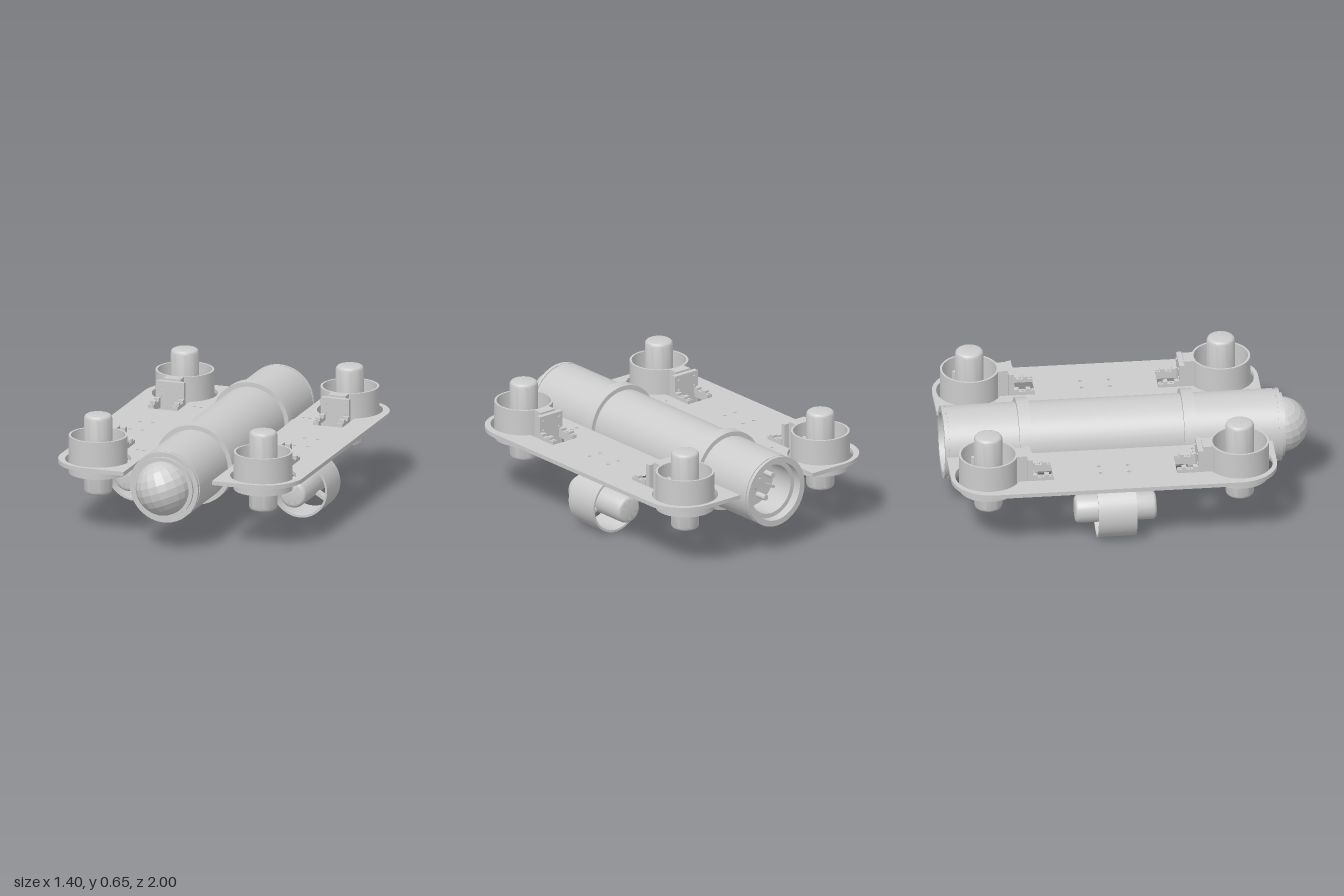
import * as THREE from 'three';
import { toCreasedNormals } from 'three/addons/utils/BufferGeometryUtils.js';

const grey = new THREE.MeshStandardMaterial({ color: 0xcccccc });
const facet = new THREE.MeshStandardMaterial({ color: 0xcccccc, flatShading: true });

const HULL_Y = 0.353, MID_Z = -0.11, POD_X = 0.477, POD_DZ = 0.687;
const PLATE_TOP = 0.397, PLATE_T = 0.023;

function add(parent, name, geo, x = 0, y = 0, z = 0, mat = grey) {
  const m = new THREE.Mesh(geo, mat);
  m.name = name;
  m.position.set(x, y, z);
  parent.add(m);
  return m;
}

// Box given by its limits on each axis
function slab(parent, name, x0, x1, y0, y1, z0, z1) {
  return add(parent, name, new THREE.BoxGeometry(x1 - x0, y1 - y0, z1 - z0),
    (x0 + x1) / 2, (y0 + y1) / 2, (z0 + z1) / 2);
}

function lathe(pts, seg = 48) {
  const g = new THREE.LatheGeometry(pts.map(p => new THREE.Vector2(...p)), seg);
  return toCreasedNormals(g, 0.6);
}

// Closed ring profile around y
const ringGeo = (ri, ro, h, seg) =>
  lathe([[ri, -h / 2], [ro, -h / 2], [ro, h / 2], [ri, h / 2], [ri, -h / 2]], seg);

// Ducted thruster along y, with its mounting block towards +z
function thruster(name) {
  const g = new THREE.Group();
  g.name = name;
  add(g, 'duct', ringGeo(0.148, 0.16, 0.21, 48));
  const r = 0.077, h = 0.222, c = 0.022, pts = [[0, -h]];
  for (let i = 0; i <= 4; i++) {
    const a = i / 4 * Math.PI / 2;
    pts.push([r - c + c * Math.sin(a), -h + c - c * Math.cos(a)]);
  }
  const top = pts.slice().reverse().map(([x, y]) => [x, -y]);
  add(g, 'motor', lathe([...pts, ...top], 32));
  for (let i = 0; i < 3; i++) {
    const a = i * Math.PI * 2 / 3;
    const s = add(g, 'spoke', new THREE.BoxGeometry(0.018, 0.05, 0.085),
      Math.sin(a) * 0.112, 0, Math.cos(a) * 0.112);
    s.rotation.y = a;
  }
  slab(g, 'mountBlock', -0.05, 0.05, -0.105, 0.105, 0.152, 0.207);
  return g;
}

// Upright bracket with two stepped feet, in the thruster's own frame
function bracket() {
  const g = new THREE.Group();
  g.name = 'thrusterBracket';
  slab(g, 'bracketPlate', -0.08, 0.08, -0.105, 0.095, 0.207, 0.235);
  const y = PLATE_TOP - 0.427;
  for (const s of [-1, 1]) {
    const x = s * 0.069;
    slab(g, 'foot', x - 0.015, x + 0.015, y, y + 0.02, 0.235, 0.35);
    slab(g, 'footStep', x - 0.015, x + 0.015, y + 0.02, y + 0.034, 0.235, 0.262);
    slab(g, 'footStep', x - 0.015, x + 0.015, y + 0.02, y + 0.034, 0.3, 0.325);
    for (const z of [0.281, 0.338])
      add(g, 'footBolt', new THREE.CylinderGeometry(0.008, 0.008, 0.008, 10), x, y + 0.022, z);
    for (const by of [0.01, 0.065]) {
      const b = add(g, 'bracketBolt', new THREE.CylinderGeometry(0.008, 0.008, 0.008, 10), s * 0.055, by, 0.237);
      b.rotation.x = Math.PI / 2;
    }
  }
  return g;
}

// Side plate with rounded outer corners, thruster cutouts and bolt holes
function platePanel(side) {
  const toPath = (pts, P) => new P(pts.map(([x, z]) => new THREE.Vector2(x * side, z)));
  const outline = [[0.255, -1], [0.255, 0.78]];
  const corner = (z, a0) => {
    for (let i = 0; i <= 16; i++) {
      const a = a0 - i / 16 * Math.PI / 2;
      outline.push([0.48 + 0.22 * Math.cos(a), z + 0.22 * Math.sin(a)]);
    }
  };
  corner(0.56, Math.PI / 2);
  corner(-0.78, 0);
  const shape = toPath(outline, THREE.Shape);
  for (const dir of [-1, 1]) {
    const cut = [], a0 = Math.asin(0.083 / 0.18);
    for (let i = 0; i <= 40; i++) {
      const a = a0 + i / 40 * (2 * Math.PI - 2 * a0);
      cut.push([0.18 * Math.sin(a), 0.18 * Math.cos(a)]);
    }
    cut.push([-0.083, 0.235], [-0.055, 0.235], [-0.055, 0.35],
      [0.055, 0.35], [0.055, 0.235], [0.083, 0.235]);
    shape.holes.push(toPath(
      cut.map(([x, d]) => [POD_X + x, MID_Z - dir * POD_DZ + dir * d]), THREE.Path));
  }
  const bolts = [];
  for (const x of [0.44, 0.513]) for (const z of [-0.187, -0.031]) bolts.push([x, z]);
  for (const x of [0.296, 0.334]) for (const z of [-0.56, 0.34]) bolts.push([x, z]);
  for (const [x, z] of bolts) {
    const pts = [];
    for (let i = 0; i < 12; i++) {
      const a = i / 12 * Math.PI * 2;
      pts.push([x + 0.01 * Math.cos(a), z + 0.01 * Math.sin(a)]);
    }
    shape.holes.push(toPath(pts, THREE.Path));
  }
  const g = new THREE.ExtrudeGeometry(shape, { depth: PLATE_T, bevelEnabled: false });
  g.rotateX(Math.PI / 2);
  return toCreasedNormals(g, 0.5);
}

export function createModel() {
  const model = new THREE.Group();
  model.name = 'underwaterVehicle';

  // Hull tube with seam grooves, front flange and recessed rear end
  const hull = new THREE.Group();
  hull.name = 'hull';
  hull.position.y = HULL_Y;
  model.add(hull);
  add(hull, 'tube', lathe([
    [0, -0.8], [0.14, -0.8], [0.14, -0.95], [0.165, -0.95], [0.165, -1], [0.198, -1],
    [0.198, -0.986], [0.193, -0.986], [0.193, -0.976], [0.198, -0.976],
    [0.198, 0.815], [0.193, 0.815], [0.193, 0.825], [0.198, 0.825],
    [0.198, 0.845], [0.172, 0.845], [0.172, 0.862], [0, 0.862]], 64)).rotation.x = Math.PI / 2;
  for (const z of [-0.981, 0.82])
    for (const s of [-1, 1]) slab(hull, 'seamLatch', -0.033, 0.033, s * 0.19 - 0.006, s * 0.19 + 0.006, z - 0.008, z + 0.008);
  for (let i = 0; i < 6; i++) {
    const a = (i * 60 - 15) * Math.PI / 180;
    for (const z of [0.845, -1 + 0.003])
      add(hull, 'flangeScrew', new THREE.CylinderGeometry(0.007, 0.007, 0.006, 10),
        0.184 * Math.cos(a), 0.184 * Math.sin(a), z).rotation.x = Math.PI / 2;
  }

  // Faceted viewing dome
  const dome = add(hull, 'dome', new THREE.SphereGeometry(0.152, 9, 12, 0, Math.PI), 0, 0, 0.85, facet);
  dome.rotation.z = 0.35;

  // Fittings inside the rear recess
  add(hull, 'rearHub', new THREE.CylinderGeometry(0.035, 0.035, 0.06, 20), 0, 0, -0.83).rotation.x = Math.PI / 2;
  for (let i = 0; i < 4; i++) {
    const a = i * Math.PI / 2 + 0.4;
    const rib = add(hull, 'rearRib', new THREE.BoxGeometry(0.11, 0.016, 0.03),
      0.085 * Math.cos(a), 0.085 * Math.sin(a), -0.815);
    rib.rotation.z = a;
    add(hull, 'rearFitting', new THREE.CylinderGeometry(0.016, 0.016, 0.08, 12),
      0.09 * Math.cos(a + 0.785), 0.09 * Math.sin(a + 0.785), -0.83).rotation.x = Math.PI / 2;
  }

  // Hull clamps with tabs under the side plates
  for (const z of [-0.56, 0.34]) {
    const clamp = new THREE.Group();
    clamp.name = 'hullClamp';
    clamp.position.z = z;
    model.add(clamp);
    add(clamp, 'clampBand', ringGeo(0.19, 0.223, 0.066, 64), 0, HULL_Y, 0).rotation.x = Math.PI / 2;
    for (const s of [-1, 1]) {
      const [a, b] = s > 0 ? [0.205, 0.365] : [-0.365, -0.205];
      slab(clamp, 'clampTab', a, b, 0.329, PLATE_TOP - PLATE_T, -0.033, 0.033);
    }
  }

  for (const side of [-1, 1]) {
    add(model, side > 0 ? 'leftPlate' : 'rightPlate', platePanel(side), 0, PLATE_TOP, 0);

    // Vertical thrusters at the four corners
    for (const dir of [-1, 1]) {
      const pod = thruster('verticalThruster');
      pod.add(bracket());
      pod.position.set(side * POD_X, 0.427, MID_Z - dir * POD_DZ);
      pod.rotation.y = dir > 0 ? 0 : Math.PI;
      model.add(pod);
    }

    // Forward thruster hung below the plate
    const drive = thruster('forwardThruster');
    drive.position.set(side * POD_X, 0.162, -0.104);
    drive.rotation.x = -Math.PI / 2;
    slab(drive, 'hangerPad', -0.05, 0.05, -0.105, 0.105, 0.205, 0.213);
    model.add(drive);
  }
  return model;
}
